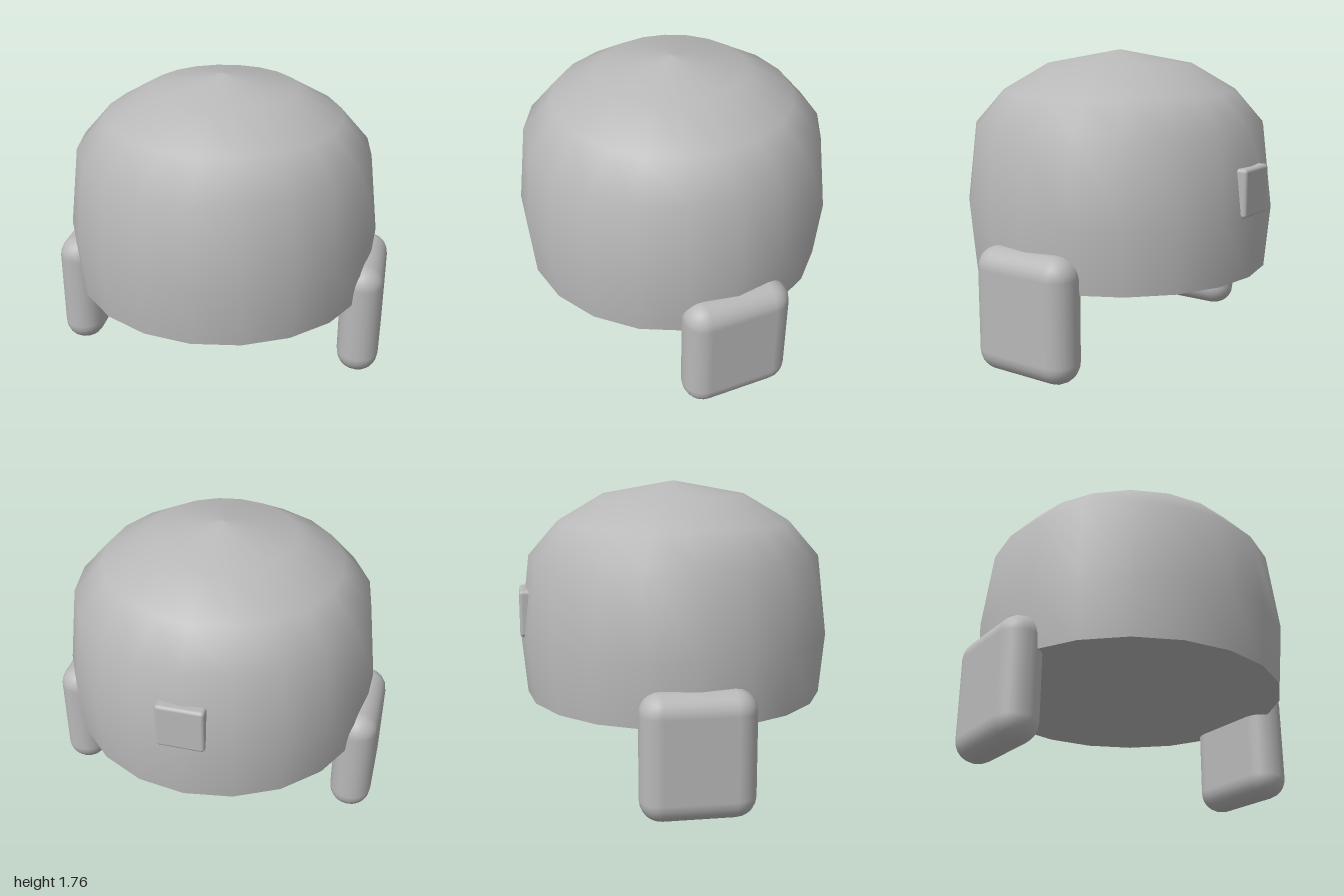
import * as THREE from 'three';
import { RoundedBoxGeometry } from 'three/addons/geometries/RoundedBoxGeometry.js';

export function createModel() {
  const model = new THREE.Group();
  model.name = 'helmet';
  const grey = new THREE.MeshStandardMaterial({ color: 0xb8b8b8 });
  grey.name = 'grey';

  const add = (name, geometry, x, y, z) => {
    const mesh = new THREE.Mesh(geometry, grey);
    mesh.name = name;
    mesh.position.set(x, y, z);
    model.add(mesh);
    return mesh;
  };

  // Smooth twenty-sided dome
  const profile = [
    [0.89, 0.5], [0.922, 0.86], [0.865, 1.33], [0.695, 1.525], [0.43, 1.68], [0, 1.76],
  ].map(([r, y]) => new THREE.Vector2(r, y));
  add('dome', new THREE.LatheGeometry(profile, 20), 0, 0, 0);

  // Flat underside closing the dome
  const base = new THREE.CircleGeometry(0.89, 20);
  base.rotateX(Math.PI / 2);
  add('domeBase', base, 0, 0.5, 0);

  // Rounded ear pads on both sides
  for (const [name, side] of [['leftEarPad', 1], ['rightEarPad', -1]]) {
    add(name, new RoundedBoxGeometry(0.25, 0.714, 0.64, 3, 0.122), side * 0.875, 0.357, 0);
  }

  // Small plate on the back
  add('backPlate', new RoundedBoxGeometry(0.274, 0.274, 0.08, 3, 0.02), 0, 1.0, -0.885);

  return model;
}
